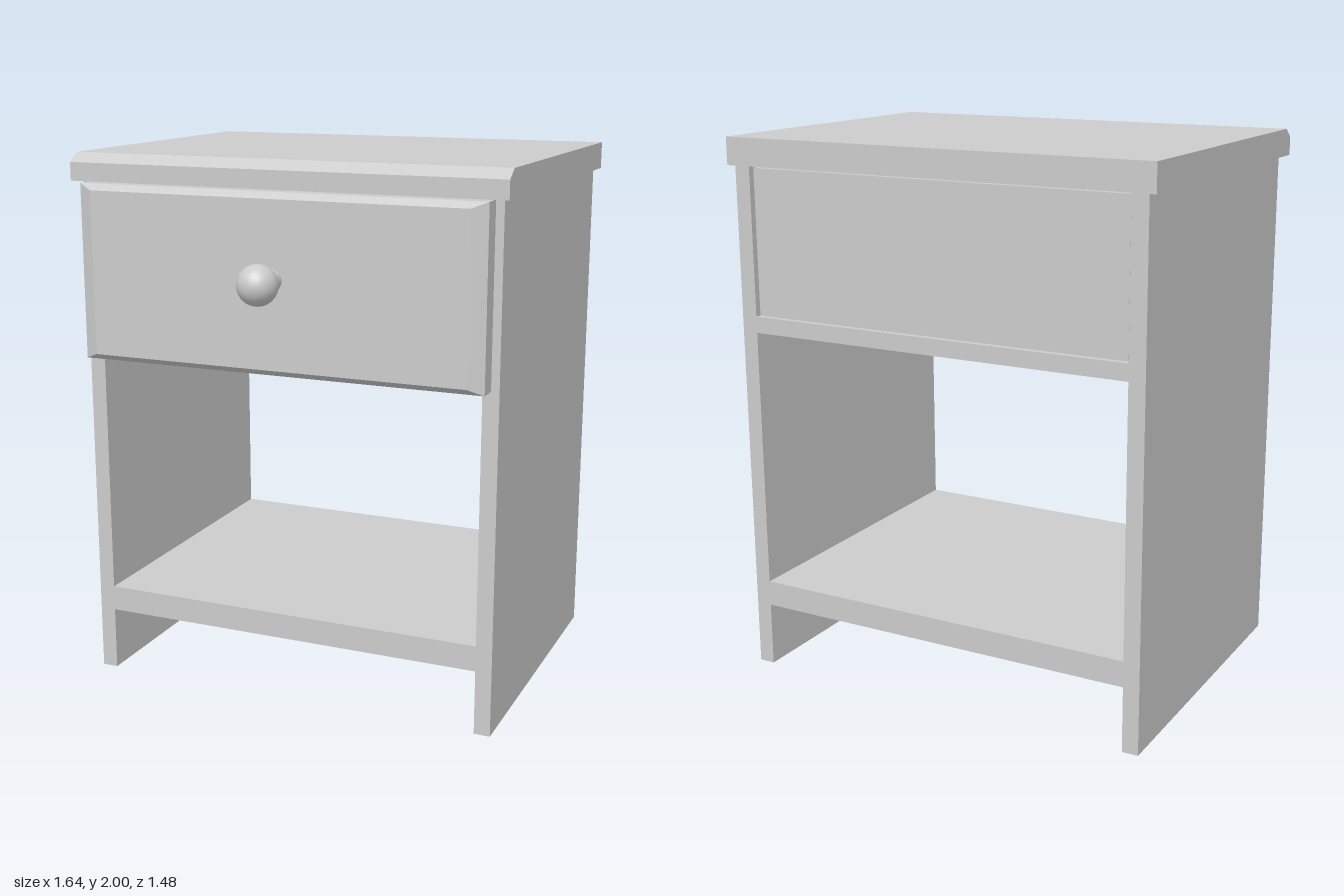
import * as THREE from 'three';

const material = new THREE.MeshStandardMaterial({ color: 0xcccccc });

function add(parent, name, geometry) {
  const mesh = new THREE.Mesh(geometry, material);
  mesh.name = name;
  parent.add(mesh);
  return mesh;
}

// Board given by its limits on each axis
function board(parent, name, [x0, x1], [y0, y1], [z0, z1]) {
  const mesh = add(parent, name, new THREE.BoxGeometry(x1 - x0, y1 - y0, z1 - z0));
  mesh.position.set((x0 + x1) / 2, (y0 + y1) / 2, (z0 + z1) / 2);
  return mesh;
}

// Table top: side profile with a chamfered front edge, extruded across the width
function topGeometry() {
  const profile = new THREE.Shape([
    [-0.74, 1.9], [0.512, 1.9], [0.512, 1.967], [0.465, 2], [-0.74, 2],
  ].map(([z, y]) => new THREE.Vector2(z, y)));
  const width = 1.645;
  return new THREE.ExtrudeGeometry(profile, { depth: width, bevelEnabled: false })
    .translate(0, 0, -width / 2)
    .rotateY(-Math.PI / 2);
}

// Drawer front: slab whose face tapers in on all four sides
function drawerFrontGeometry() {
  const w = 1.53, h = 0.64;
  const box = new THREE.BoxGeometry(w, h, 2, 1, 1, 2);
  const p = box.attributes.position;
  for (let i = 0; i < p.count; i++) {
    const layer = Math.round(p.getZ(i)) + 1;
    if (layer === 2) {
      p.setX(i, Math.sign(p.getX(i)) * (w / 2 - 0.055));
      p.setY(i, Math.sign(p.getY(i)) * (h / 2 - 0.022));
    }
    p.setZ(i, [0, 0.07, 0.095][layer]);
  }
  const flat = box.toNonIndexed();
  flat.computeVertexNormals();
  return flat;
}

export function createModel() {
  const model = new THREE.Group();
  model.name = 'nightstand';
  const depth = [-0.73, 0.47];

  // Carcass
  add(model, 'top', topGeometry());
  board(model, 'leftSide', [0.735, 0.795], [0, 1.9], depth);
  board(model, 'rightSide', [-0.795, -0.735], [0, 1.9], depth);
  board(model, 'lowerShelf', [-0.735, 0.735], [0.24, 0.335], depth);
  board(model, 'drawerSupport', [-0.735, 0.735], [1.3, 1.36], depth);

  // Drawer box, set slightly in from the back
  const drawer = new THREE.Group();
  drawer.name = 'drawer';
  model.add(drawer);
  board(drawer, 'drawerBack', [-0.728, 0.728], [1.362, 1.893], [-0.715, -0.67]);
  board(drawer, 'drawerBottom', [-0.69, 0.69], [1.362, 1.4], [-0.67, 0.47]);
  for (const s of [-1, 1]) {
    const side = board(drawer, s > 0 ? 'drawerLeftSide' : 'drawerRightSide',
      [-0.019, 0.019], [1.362, 1.893], [-0.67, 0.47]);
    side.position.x = s * 0.709;
  }
  add(drawer, 'drawerFront', drawerFrontGeometry()).position.set(0, 1.577, 0.47);

  // Round knob on a short stem
  const stem = add(drawer, 'knobStem', new THREE.CylinderGeometry(0.04, 0.04, 0.09, 32));
  stem.rotation.x = Math.PI / 2;
  stem.position.set(0, 1.597, 0.6);
  add(drawer, 'knob', new THREE.SphereGeometry(0.072, 32, 24)).position.set(0, 1.597, 0.67);

  return model;
}
